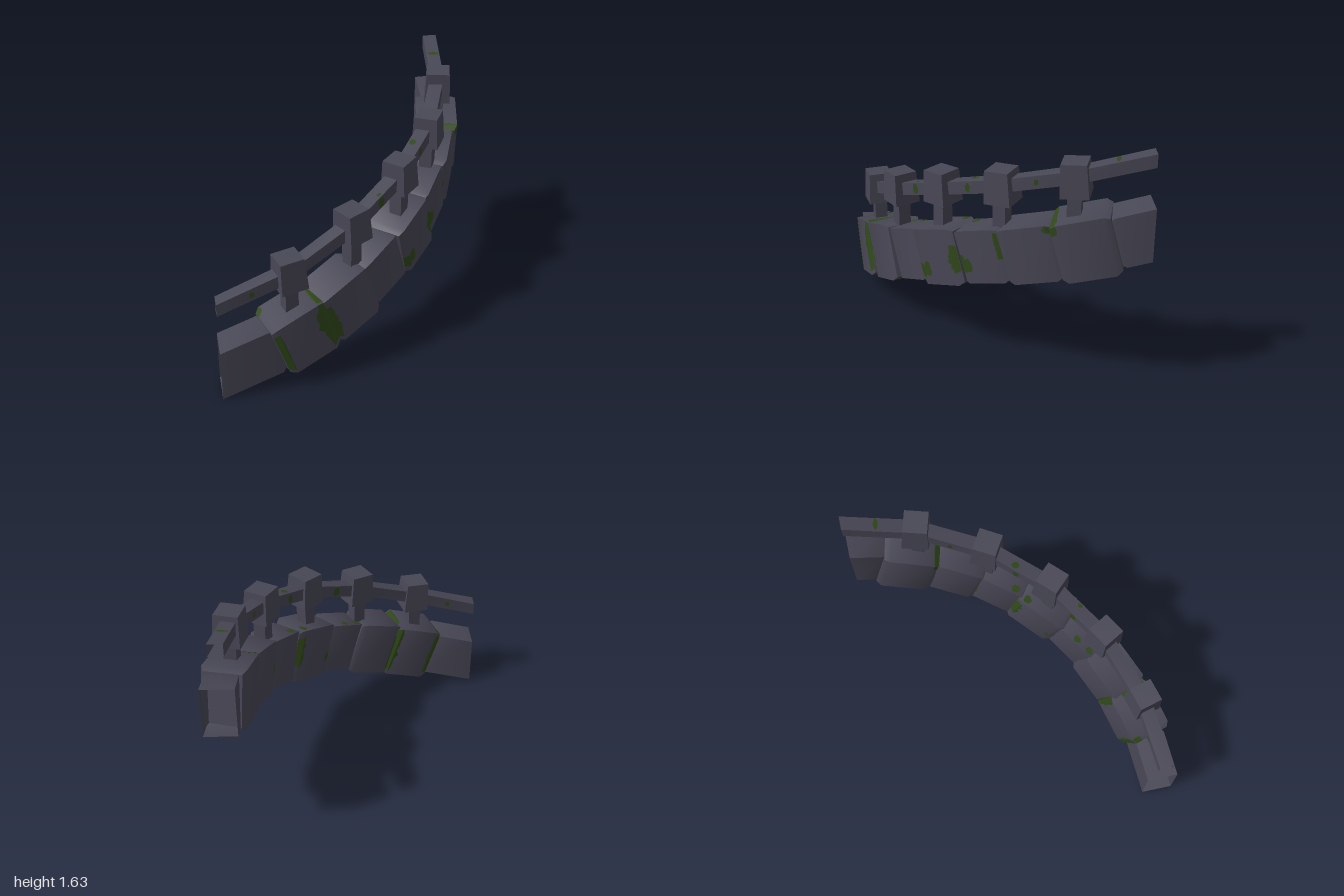
import * as THREE from 'three';
import { toCreasedNormals } from 'three/addons/utils/BufferGeometryUtils.js';

const rad = THREE.MathUtils.degToRad;
const CX = -1, CZ = -0.99; // centre of the quarter-circle plan
const BASE_R = 1.862, RAIL_R = 1.85, POST_R = 1.856;
const BEVEL = 0.022, BEVEL_LEN = 0.04;

// Heights at every 15 degrees along the curve
const baseY = [0.187, 0.338, 0.52, 0.703, 0.845, 0.985, 1.115];
const railY = [0.654, 0.81, 1.0, 1.175, 1.32, 1.455, 1.588];
const capY = [0, 0.825, 1.017, 1.19, 1.317, 1.443];

const heightAt = (list, deg) => {
  const k = Math.min(Math.floor(deg / 15), list.length - 2);
  return THREE.MathUtils.lerp(list[k], list[k + 1], deg / 15 - k);
};
const arcPoint = (deg, r, y) =>
  new THREE.Vector3(CX + r * Math.sin(rad(deg)), y, CZ + r * Math.cos(rad(deg)));

const bufferOf = (pos) => {
  const geo = new THREE.BufferGeometry();
  geo.setAttribute('position', new THREE.Float32BufferAttribute(pos, 3));
  return geo;
};

// Skin a row of four-cornered sections, with optional end caps
function loft(sections, capStart, capEnd) {
  const pos = [];
  const tri = (...pts) => pts.forEach((p) => pos.push(p.x, p.y, p.z));
  for (let i = 0; i < sections.length - 1; i++) {
    for (let j = 0; j < 4; j++) {
      const a = sections[i], b = sections[i + 1], k = (j + 1) % 4;
      tri(a[j], b[j], b[k]);
      tri(a[j], b[k], a[k]);
    }
  }
  const s = sections[0], e = sections[sections.length - 1];
  if (capStart) { tri(s[0], s[1], s[2]); tri(s[0], s[2], s[3]); }
  if (capEnd) { tri(e[0], e[2], e[1]); tri(e[0], e[3], e[2]); }
  return toCreasedNormals(bufferOf(pos), rad(40));
}

const corners = (h, w) => [[-h, -w], [-h, w], [h, w], [h, -w]];

// Point on a stone's face: x along it, v across it, d out from the middle
const onFace = {
  outer: (x, v, d) => [x, v, d],
  inner: (x, v, d) => [x, v, -d],
  top: (x, v, d) => [x, d, v],
  bottom: (x, v, d) => [x, -d, v],
};

export function createModel() {
  const root = new THREE.Group();
  root.name = 'curvedBalustrade';

  const stone = new THREE.MeshStandardMaterial({ color: 0x484755, side: THREE.DoubleSide });
  stone.name = 'slate stone';
  const moss = new THREE.MeshStandardMaterial({ color: 0x30481a, side: THREE.DoubleSide });
  moss.name = 'moss green';

  let seed = 7;
  const rnd = () => (seed = (seed * 16807) % 2147483647) / 2147483647;

  const add = (parent, geo, mat, name) => {
    const m = new THREE.Mesh(geo, mat);
    m.name = name;
    parent.add(m);
    return m;
  };

  // Irregular flat moss patch
  const patch = (parent, rx, ry) => {
    const pts = [];
    for (let i = 0; i < 16; i++) {
      const a = (i / 16) * Math.PI * 2, r = 0.8 + 0.35 * rnd();
      pts.push(new THREE.Vector2(Math.cos(a) * rx * r, Math.sin(a) * ry * r));
    }
    return add(parent, new THREE.ShapeGeometry(new THREE.Shape(pts)), moss, 'mossPatch');
  };

  // Base: straight chamfered stones following the curve uphill
  const seams = [0, 11.5, 22, 32, 41.5, 52, 62, 72.5, 83.2, 90];
  const widths = [0.22, 0.3, 0.28, 0.22, 0.265, 0.22, 0.25, 0.3, 0.22];
  const heights = [0.35, 0.41, 0.41, 0.37, 0.4, 0.375, 0.39, 0.41, 0.355];
  const blocks = widths.map((w, i) => {
    const h = heights[i], first = i === 0, last = i === widths.length - 1;
    const a = arcPoint(seams[i], BASE_R, heightAt(baseY, seams[i]));
    const b = arcPoint(seams[i + 1], BASE_R, heightAt(baseY, seams[i + 1]));
    const t = b.clone().sub(a).normalize();
    const mid = rad((seams[i] + seams[i + 1]) / 2);
    const r = new THREE.Vector3(Math.sin(mid), 0, Math.cos(mid));
    const n = r.clone().cross(t);
    const o = a.clone().add(b).multiplyScalar(0.5);
    const half = a.distanceTo(b) / 2 + 0.015;

    const ring = (x, inset) =>
      corners(h / 2 - inset, w / 2 - inset).map(([y, z]) => new THREE.Vector3(x, y, z));
    // Trim the outermost ends to upright planes
    const trim = (axis, value) => ring(0, 0).map((p) => {
      p.x = (value - o[axis] - p.y * n[axis] - p.z * r[axis]) / t[axis];
      return p;
    });
    const rows = [];
    if (first) rows.push(trim('x', CX));
    else rows.push(ring(-half, BEVEL), ring(-half + BEVEL_LEN, 0));
    if (last) rows.push(trim('z', CZ));
    else rows.push(ring(half - BEVEL_LEN, 0), ring(half, BEVEL));

    const g = new THREE.Group();
    g.name = 'baseBlock' + (i + 1);
    g.applyMatrix4(new THREE.Matrix4().makeBasis(t, n, r).setPosition(o));
    add(g, loft(rows, !first, !last), stone, 'baseStone');
    root.add(g);
    return { g, w, h, half };
  });

  // Ragged moss along a chamfer, creeping onto the flat of the stone
  const seamMoss = (i, end, face, from, to, reach) => {
    const { g, w, h, half } = blocks[i];
    const upright = face === 'outer' || face === 'inner';
    const span = (upright ? h : w) / 2, depth = (upright ? w : h) / 2 + 0.003;
    const steps = 10, rows = [], pos = [];
    for (let s = 0; s <= steps; s++) {
      const v = THREE.MathUtils.lerp(from, to, s / steps);
      const creep = reach * (0.25 + 0.75 * rnd()) * Math.sin(Math.PI * (0.1 + 0.8 * s / steps));
      rows.push([
        onFace[face](end * half, v * (span - BEVEL), depth - BEVEL),
        onFace[face](end * (half - BEVEL_LEN), v * span, depth),
        onFace[face](end * (half - BEVEL_LEN - creep), v * span, depth),
      ]);
    }
    for (let s = 0; s < steps; s++) {
      for (let c = 0; c < 2; c++) {
        const a = rows[s], b = rows[s + 1];
        pos.push(...a[c], ...b[c], ...b[c + 1], ...a[c], ...b[c + 1], ...a[c + 1]);
      }
    }
    const geo = bufferOf(pos);
    geo.computeVertexNormals();
    add(g, geo, moss, 'seamMoss');
  };
  // Block, end, face, from, to, reach
  const seamGrowth = [
    [1, -1, 'outer', -0.85, 0.8, 0.012], [1, -1, 'inner', -0.8, 0.9, 0.02],
    [1, -1, 'top', -1, -0.6, 0.01],
    [1, 1, 'outer', -0.85, 1, 0.07], [1, 1, 'inner', -0.85, 1, 0.045],
    [1, 1, 'top', -0.45, 0.9, 0.02], [1, 1, 'bottom', -0.5, 0.3, 0.04],
    [2, -1, 'outer', -0.8, 0.7, 0.025], [2, -1, 'inner', -0.8, 0.8, 0.015],
    [2, -1, 'bottom', -0.5, 0.4, 0.03], [2, 1, 'bottom', -0.6, 0.7, 0.02],
    [4, 1, 'outer', -0.55, 0.45, 0.05], [4, 1, 'inner', -0.4, 0.75, 0.04],
    [4, 1, 'bottom', -0.8, 0.6, 0.015], [4, -1, 'outer', -0.75, -0.25, 0.04],
    [5, -1, 'outer', -0.6, 0.1, 0.03], [5, 1, 'outer', -0.1, 0.9, 0.02],
    [5, 1, 'inner', -0.5, 0.1, 0.01], [6, 1, 'outer', 0.75, 1, 0.03],
    [7, -1, 'top', -1, 1, 0.015], [7, -1, 'outer', 0.7, 1, 0.01],
    [7, -1, 'inner', 0.75, 1, 0.01], [7, -1, 'bottom', -0.6, 0.4, 0.015],
  ];
  seamGrowth.forEach((m) => seamMoss(...m));

  // Loose patches: block, face, along, across, half length, half breadth
  const looseGrowth = [
    [4, 'outer', -0.105, -0.085, 0.03, 0.055], [5, 'outer', -0.11, -0.06, 0.025, 0.05],
    [4, 'inner', -0.14, -0.05, 0.015, 0.035], [3, 'top', -0.1, -0.08, 0.03, 0.025],
    [3, 'top', 0.02, -0.08, 0.03, 0.025], [4, 'top', 0.14, -0.09, 0.03, 0.03],
    [5, 'top', -0.09, -0.07, 0.03, 0.03],
  ];
  for (const [i, face, along, across, rx, ry] of looseGrowth) {
    const { g, w, h } = blocks[i], m = patch(g, rx, ry);
    const depth = (face === 'top' ? h : w) / 2 + 0.004;
    m.position.set(...onFace[face](along, across, depth));
    if (face === 'inner') m.rotation.y = Math.PI;
    if (face === 'top') m.rotation.x = -Math.PI / 2;
  }

  // Handrail: square bar bending inside each post, open at both ends
  const railRows = railY.map((y, k) => corners(0.045, 0.05).map(([dy, dr]) =>
    arcPoint(k * 15, RAIL_R + dr, y + dy)));
  add(root, loft(railRows, false, false), stone, 'handrail');

  const railPoint = (deg, dr, dy) => {
    const k = Math.floor(deg / 15);
    return arcPoint(k * 15, RAIL_R + dr, railY[k] + dy)
      .lerp(arcPoint(k * 15 + 15, RAIL_R + dr, railY[k + 1] + dy), deg / 15 - k);
  };
  // Moss specks on the handrail sides
  for (const [deg, rx, ry] of [[7, 0.018, 0.022], [37.5, 0.028, 0.04], [52.5, 0.022, 0.032], [67.5, 0.016, 0.022]]) {
    for (const side of [1, -1]) {
      const m = patch(root, rx, ry);
      m.position.copy(railPoint(deg, side * 0.054, 0));
      m.rotation.y = rad(Math.floor(deg / 15) * 15 + 7.5) + (side < 0 ? Math.PI : 0);
    }
  }
  // Moss specks on top of the handrail
  for (const [deg, dr, rx, ry] of [[37.5, 0.03, 0.02, 0.014], [53, -0.015, 0.028, 0.026], [83, 0, 0.016, 0.044]]) {
    const holder = new THREE.Group();
    holder.name = 'railTopMoss';
    holder.position.copy(railPoint(deg, dr, 0.05));
    holder.rotation.y = rad(Math.floor(deg / 15) * 15 + 7.5);
    const m = patch(holder, rx, ry);
    m.rotation.set(-Math.PI / 2, -0.29, 0); // lie along the rail's slope
    root.add(holder);
  }

  // Posts: slim neck under a flared, slightly tilted head
  const headGeo = new THREE.BoxGeometry(0.165, 0.225, 0.165);
  const p = headGeo.attributes.position;
  for (let i = 0; i < p.count; i++) {
    if (p.getY(i) < 0) p.setXYZ(i, p.getX(i) * 1.13, p.getY(i), p.getZ(i) * 1.13);
  }
  headGeo.computeVertexNormals();
  for (let k = 1; k <= 5; k++) {
    const post = new THREE.Group();
    post.name = 'post' + k;
    post.position.copy(arcPoint(k * 15, POST_R, 0));
    post.rotation.y = rad(k * 15);
    const head = add(post, headGeo, stone, 'postHead');
    head.position.y = capY[k];
    head.rotation.z = 0.06;
    const bottom = baseY[k] + 0.1, top = capY[k];
    const neck = add(post, new THREE.BoxGeometry(0.09, top - bottom, 0.09), stone, 'postNeck');
    neck.position.y = (top + bottom) / 2;
    root.add(post);
  }

  return root;
}
